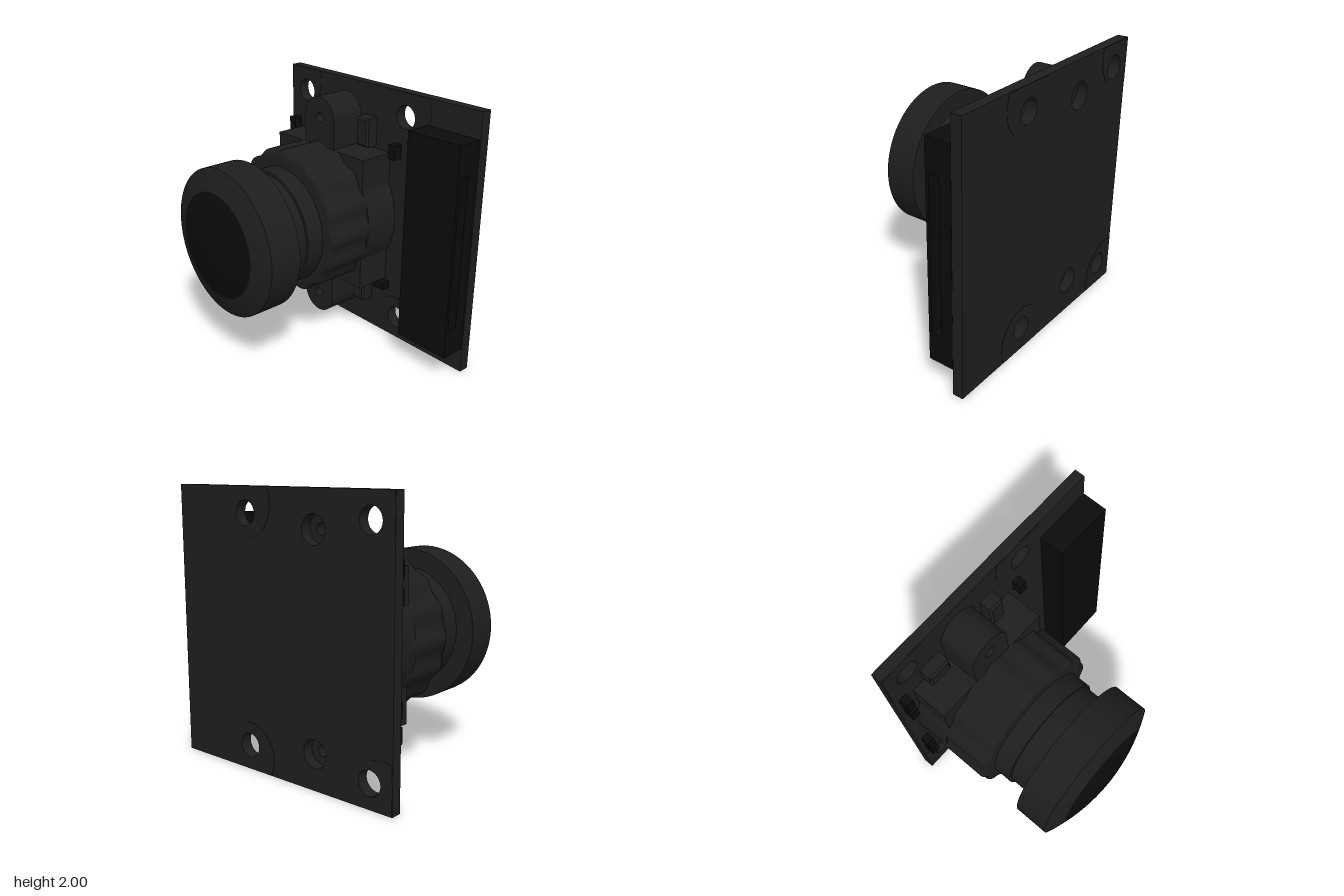
import * as THREE from 'three';
import { toCreasedNormals } from 'three/addons/utils/BufferGeometryUtils.js';

const body = new THREE.MeshStandardMaterial({ color: 0x1e1e1e });
const dark = new THREE.MeshStandardMaterial({ color: 0x0b0b0b });

const CX = -0.32;        // lens axis
const BOARD_BACK = -0.7, BOARD_FRONT = -0.62, BASE_FRONT = -0.34;

export function createModel() {
  const model = new THREE.Group();

  function add(name, geometry, material = body, x = 0, y = 0, z = 0) {
    const mesh = new THREE.Mesh(geometry, material);
    mesh.name = name;
    mesh.position.set(x, y, z);
    model.add(mesh);
    return mesh;
  }
  // Box given by its extents
  function box(name, x0, x1, y0, y1, z0, z1, material) {
    return add(name, new THREE.BoxGeometry(x1 - x0, y1 - y0, z1 - z0), material,
      (x0 + x1) / 2, (y0 + y1) / 2, (z0 + z1) / 2);
  }
  function rect(x0, x1, y0, y1, Type = THREE.Shape) {
    return new Type([[x0, y0], [x1, y0], [x1, y1], [x0, y1]].map(p => new THREE.Vector2(...p)));
  }
  const circle = (x, y, r) => new THREE.Path().absarc(x, y, r, 0, Math.PI * 2, true);
  function extrude(shape, depth, options = {}) {
    return toCreasedNormals(new THREE.ExtrudeGeometry(shape,
      { depth, bevelEnabled: false, curveSegments: 32, ...options }), 0.6);
  }
  // Surface turned about the lens axis, from [radius, z] points
  function turned(name, profile, y, material) {
    const geo = new THREE.LatheGeometry(profile.map(p => new THREE.Vector2(...p)), 72);
    const mesh = add(name, toCreasedNormals(geo, 0.35), material, CX, y, 0);
    mesh.rotation.x = Math.PI / 2;
    return mesh;
  }

  // Circuit board with corner holes and screw holes
  const holes = [[-0.78, 1.82], [0.295, 1.82], [-0.78, 0.18], [0.295, 0.18]];
  const screws = [1.74, 0.26];
  const board = rect(-0.96, 0.96, 0, 2);
  holes.forEach(([x, y]) => board.holes.push(circle(x, y, 0.088)));
  screws.forEach(y => board.holes.push(circle(CX, y, 0.1)));
  add('circuitBoard', extrude(board, BOARD_FRONT - BOARD_BACK), body, 0, 0, BOARD_BACK);

  // Thin pads round the corner holes, clipped at the board edges
  for (const [i, [x, y]] of holes.entries()) {
    const left = i % 2 === 0;
    const r = left ? 0.27 : 0.235;
    const px = left ? -0.88 : x;
    const py = (y > 1 ? 2 : 0) + (y > 1 ? -1 : 1) * (left ? 0.08 : 0.115);
    const outline = [];
    for (let k = 0; k < 64; k++) {
      const a = k / 64 * Math.PI * 2;
      outline.push(new THREE.Vector2(
        THREE.MathUtils.clamp(px + r * Math.cos(a), -0.957, 0.957),
        THREE.MathUtils.clamp(py + r * Math.sin(a), 0.003, 1.997)));
    }
    const pad = new THREE.Shape(outline);
    pad.holes.push(circle(x, y, 0.088));
    add('holePad', extrude(pad, 0.086), body, 0, 0, BOARD_BACK - 0.003);
  }

  // Lens holder: square base, round bulge and two screw ears
  box('holderBase', -0.8, 0.155, 0.48, 1.52, BOARD_FRONT, BASE_FRONT);
  turned('holderBulge', [[0, BOARD_FRONT], [0.55, BOARD_FRONT], [0.55, BASE_FRONT - 0.002], [0, BASE_FRONT - 0.002]], 1);
  for (const y of screws) {
    const s = y > 1 ? 1 : -1;
    const ear = new THREE.Shape();
    ear.moveTo(CX - s * 0.16, 1 + s * 0.5);
    ear.lineTo(CX + s * 0.16, 1 + s * 0.5);
    ear.absarc(CX, y, 0.16, s > 0 ? 0 : Math.PI, s > 0 ? Math.PI : Math.PI * 2, false);
    ear.holes.push(circle(CX, y, 0.04));
    add('screwEar', extrude(ear, BASE_FRONT - BOARD_FRONT), body, 0, 0, BOARD_FRONT);
  }

  // Fluted collar with a rounded front edge
  const flutes = [];
  for (let k = 0; k < 160; k++) {
    const a = k / 160 * Math.PI * 2;
    const r = 0.545 + 0.012 * Math.cos(16 * a);
    flutes.push(new THREE.Vector2(r * Math.cos(a), r * Math.sin(a)));
  }
  const bevel = 0.035;
  add('flutedCollar', extrude(new THREE.Shape(flutes), 0.37, {
    bevelEnabled: true, bevelSize: bevel, bevelThickness: bevel, bevelOffset: -bevel, bevelSegments: 4,
  }), body, CX, 1, 0.02 - bevel - 0.37);

  // Lens barrel; the rim and the glass share one spherical cap
  const R = 1.367;
  const capZ = r => 0.7 - R + Math.sqrt(R * R - r * r);
  const cap = (from, to, n) => Array.from({ length: n + 1 }, (_, i) => {
    const r = from + (to - from) * i / n;
    return [r, capZ(r)];
  });
  turned('lensBarrel', [[0.445, -0.02], [0.445, 0.16], [0.425, 0.16], [0.425, 0.33],
    [0.56, 0.33], ...cap(0.56, 0.4, 4)], 0.98);
  turned('frontGlass', cap(0.4, 0, 8), 0.98, dark);

  // Cable connector, open in a slot on its outer side
  const shell = rect(-0.615, -0.42, 0.2, 1.81);
  shell.holes.push(rect(-0.59, -0.51, 0.42, 1.58, THREE.Path));
  const shellGeo = extrude(shell, 0.4);
  // profile (z, y) swept along x
  shellGeo.rotateY(Math.PI / 2).scale(1, 1, 1);
  const connector = add('connectorShell', shellGeo, dark, 0.555, 0, -1.035);
  connector.name = 'connectorShell';
  box('connectorBack', 0.5, 0.556, 0.2, 1.81, -0.615, -0.42, dark);

  // Small parts on the board: [x0, x1, y0, y1, front z]
  const parts = [
    [-0.7, -0.52, 1.56, 1.69, -0.52],
    [-0.11, 0.01, 1.54, 1.76, -0.52],
    [-0.66, -0.54, 0.24, 0.47, -0.52],
    [-0.11, 0.01, 0.24, 0.47, -0.52],
  ];
  for (const [x0, x1, y0, y1, z] of parts) {
    const b = 0.015;
    add('boardComponent', extrude(rect(x0 + b, x1 - b, y0 + b, y1 - b), z - BOARD_FRONT - b, {
      bevelEnabled: true, bevelSize: b, bevelThickness: b, bevelSegments: 1,
    }), body, 0, 0, BOARD_FRONT);
  }
  const chips = [
    [0.2, 0.265, 1.5, 1.61], [0.09, 0.2, 0.405, 0.465],
    [-0.92, -0.855, 1.47, 1.585], [-0.92, -0.855, 1.3, 1.415],
    [-0.92, -0.855, 0.59, 0.705], [-0.92, -0.855, 0.425, 0.54],
  ];
  chips.forEach(c => box('smallChip', ...c, BOARD_FRONT, -0.55, dark));

  return model;
}
